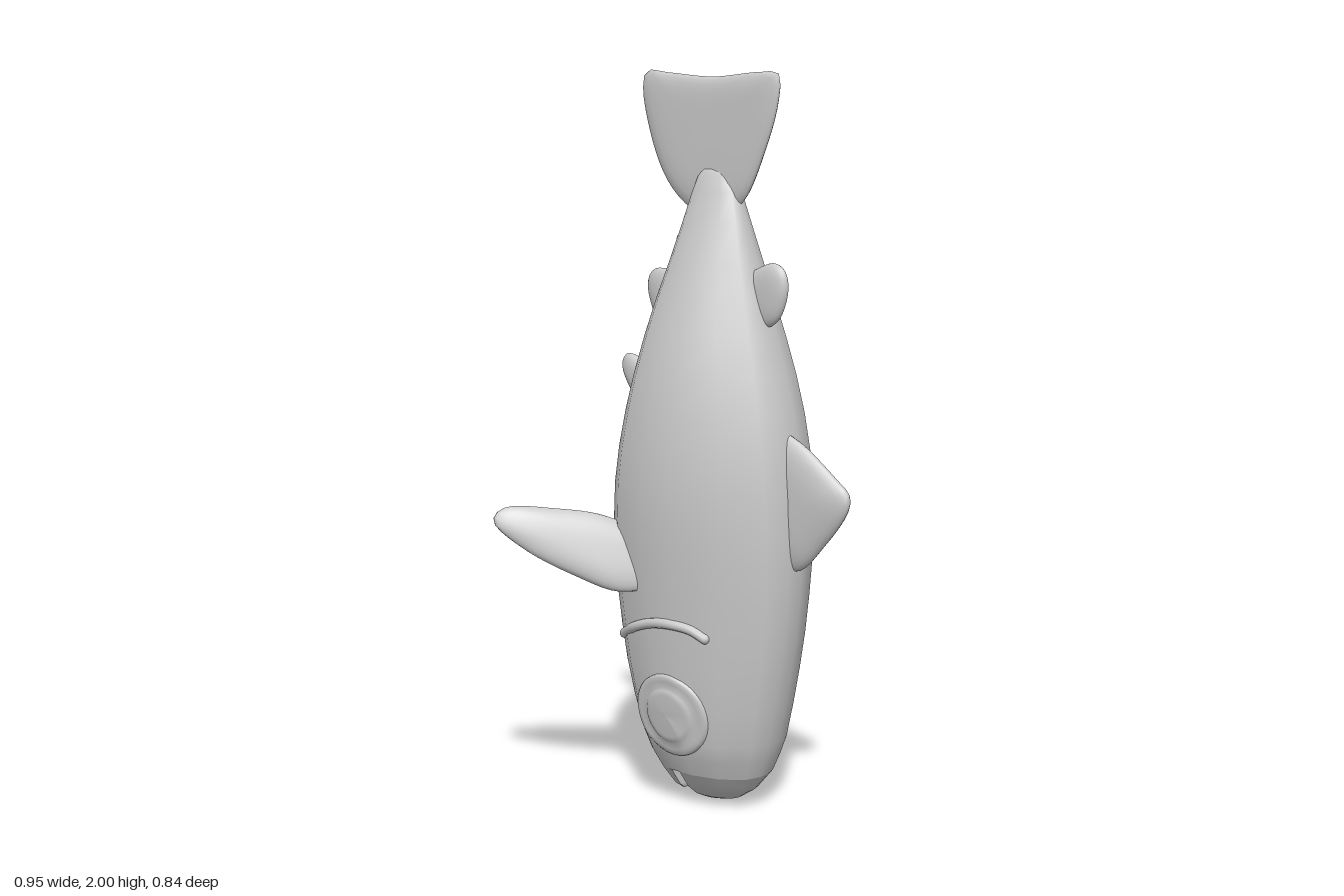
import * as THREE from 'three';

const material = new THREE.MeshStandardMaterial({ color: 0xcccccc });
const lerp = THREE.MathUtils.lerp;
const V = (x, y, z) => new THREE.Vector3(x, y, z);

// Body stations: height, back z, front z, half width
const PROFILE = [
  [0.005, -0.1, -0.02, 0.025], [0.02, -0.14, 0.035, 0.055], [0.05, -0.175, 0.08, 0.09],
  [0.1, -0.2, 0.12, 0.125], [0.15, -0.225, 0.14, 0.148], [0.2, -0.242, 0.157, 0.165],
  [0.3, -0.272, 0.178, 0.18], [0.4, -0.297, 0.197, 0.19], [0.5, -0.313, 0.213, 0.198],
  [0.6, -0.324, 0.224, 0.206], [0.7, -0.328, 0.231, 0.215], [0.8, -0.325, 0.232, 0.222],
  [0.9, -0.316, 0.228, 0.225], [1.0, -0.3, 0.218, 0.22], [1.1, -0.278, 0.2, 0.21],
  [1.2, -0.252, 0.175, 0.194], [1.3, -0.225, 0.146, 0.17], [1.4, -0.197, 0.115, 0.14],
  [1.5, -0.165, 0.084, 0.108], [1.6, -0.138, 0.054, 0.073], [1.68, -0.118, 0.03, 0.046],
  [1.72, -0.104, 0.012, 0.032], [1.745, -0.085, -0.01, 0.018],
];

// Half cross-section, scaled to one: sideways, back to front
const HALF = [[0, -1], [0.44, -0.92], [0.82, -0.77], [0.98, -0.6], [1, -0.25],
  [0.99, 0.07], [0.81, 0.57], [0.45, 0.92], [0.13, 1]];
const SECTION = [...HALF, ...HALF.slice(1).reverse().map(([u, v]) => [-u, v])];

// Straight interpolation in a table sorted by the column key
function sample(table, key, value) {
  let i = 1;
  while (i < table.length - 1 && table[i][key] < value) i++;
  const a = table[i - 1], b = table[i];
  const t = THREE.MathUtils.clamp((value - a[key]) / (b[key] - a[key]), 0, 1);
  return a.map((n, k) => lerp(n, b[k], t));
}

// Sideways position of the body's skin
function skinX(y, z) {
  const [, back, front, width] = sample(PROFILE, 0, y);
  return width * sample(HALF, 1, (2 * z - back - front) / (front - back))[0];
}

// Body ring at a height, kept within a range of z
function ring(y, zMin = -9, zMax = 9) {
  const [, back, front, width] = sample(PROFILE, 0, y);
  return SECTION.map(([u, v]) => V(u * width, y,
    THREE.MathUtils.clamp((back + front) / 2 + v * (front - back) / 2, zMin, zMax)));
}

// Row of equal points in the middle of a ring, closing a loft
function cap(row, y) {
  const c = row.reduce((s, p) => s.add(p), V(0, 0, 0)).divideScalar(row.length);
  return row.map(() => V(c.x, y, c.z));
}

// Skin over closed rows of points, turned outward by its signed volume
function loft(rows) {
  const n = rows[0].length, pts = rows.flat(), index = [];
  for (let r = 0; r < rows.length - 1; r++) {
    for (let i = 0; i < n; i++) {
      const a = r * n + i, b = r * n + (i + 1) % n;
      index.push(a, b, a + n, b, b + n, a + n);
    }
  }
  let volume = 0;
  for (let i = 0; i < index.length; i += 3) {
    const [a, b, c] = [0, 1, 2].map((k) => pts[index[i + k]]);
    volume += a.dot(b.clone().cross(c));
  }
  if (volume < 0) index.reverse();
  const geometry = new THREE.BufferGeometry().setFromPoints(pts);
  geometry.setIndex(index);
  geometry.computeVertexNormals();
  return geometry;
}

// Puffed fin from an outline of [across, y]; place() sets each point in space
function fin(outline, thickness, place, fullness = 3) {
  const n = 48;
  const curve = new THREE.CatmullRomCurve3(outline.map(([a, y]) => V(a, y, 0)), true, 'centripetal');
  const edge = curve.getSpacedPoints(n).slice(0, n);
  const mid = edge.reduce((s, p) => s.add(p), V(0, 0, 0)).divideScalar(n);
  const rows = [];
  for (let k = -8; k <= 8; k++) {
    const s = Math.cos((k / 8) * Math.PI / 2);
    const t = Math.sign(k) * thickness * Math.pow(Math.max(0, 1 - Math.pow(s, fullness)), 0.5);
    rows.push(edge.map((p) => place(lerp(mid.x, p.x, s), lerp(mid.y, p.y, s), t)));
  }
  return loft(rows);
}

export function createModel() {
  const fish = new THREE.Group();
  fish.name = 'fish';
  const add = (name, geometry) => {
    const mesh = new THREE.Mesh(geometry, material);
    mesh.name = name;
    fish.add(mesh);
    return mesh;
  };

  // Body, from the mouth corner up to the tail root
  const rows = PROFILE.slice(3).map(([y]) => ring(y));
  add('body', loft([cap(rows[0], 0.1), ring(0.1), ...rows, cap(rows.at(-1), 1.752)]));

  // Two jaws with the open mouth between them
  const jaw = (name, heights, tip, zMin, zMax) => {
    const r = heights.map((y) => ring(y, zMin, zMax));
    add(name, loft([cap(r[0], 0.1), ring(0.1, zMin, zMax), ...r, cap(r.at(-1), tip)]));
  };
  jaw('upperJaw', [0.1, 0.075, 0.05, 0.035, 0.02, 0.01, 0.005], 0, -0.075, 9);
  jaw('lowerJaw', [0.1, 0.075, 0.05, 0.035], 0.028, -9, -0.105);

  // Fins along the middle
  const middle = (a, y, t) => V(t, y, a);
  add('tailFin', fin([[0.165, 1.985], [0.1, 1.99], [-0.06, 1.98], [-0.22, 1.993], [-0.3, 1.997],
    [-0.312, 1.95], [-0.26, 1.77], [-0.2, 1.68], [-0.12, 1.625], [-0.04, 1.622], [0.04, 1.65],
    [0.12, 1.79], [0.165, 1.92]], 0.022, (a, y, t) => V(t * (1 - (y - 1.7) * 0.8), y, a), 6));
  add('frontDorsalFin', fin([[0.15, 1.06], [0.225, 1.045], [0.365, 0.95], [0.405, 0.915],
    [0.402, 0.875], [0.325, 0.77], [0.235, 0.69], [0.15, 0.72]], 0.032, middle));
  add('rearDorsalFin', fin([[0.06, 1.46], [0.1, 1.485], [0.155, 1.5], [0.187, 1.48],
    [0.197, 1.43], [0.165, 1.35], [0.12, 1.33], [0.06, 1.38]], 0.022, middle));
  add('rearAnalFin', fin([[-0.11, 1.42], [-0.17, 1.455], [-0.275, 1.463], [-0.297, 1.425],
    [-0.272, 1.34], [-0.205, 1.25], [-0.14, 1.3]], 0.022, middle));
  add('frontAnalFin', fin([[-0.2, 1.12], [-0.25, 1.17], [-0.31, 1.205], [-0.38, 1.222],
    [-0.397, 1.19], [-0.35, 1.105], [-0.285, 1.04], [-0.22, 1.06]], 0.024, middle));

  for (const [side, label] of [[1, 'left'], [-1, 'right']]) {
    // Pectoral fin, swept back
    add(label + 'PectoralFin', fin([[0.13, 0.74], [0.22, 0.808], [0.33, 0.835], [0.445, 0.843],
      [0.475, 0.81], [0.425, 0.735], [0.33, 0.66], [0.24, 0.612], [0.15, 0.63]], 0.036,
    (a, y, t) => V(side * a, y, -0.195 - 0.67 * (a - 0.23) - 0.4 * (y - 0.65) + t)));

    // Eye: shallow disc with a raised pupil, following the skin
    const eyeSteps = [[0, 0.014], [0.06, 0.014], [0.074, 0.011], [0.08, 0.006], [0.098, 0.008],
      [0.11, 0.009], [0.116, 0.005], [0.118, -0.003], [0.116, -0.02], [0, -0.03]];
    add(label + 'Eye', loft(eyeSteps.map(([r, lift]) => Array.from({ length: 40 }, (_, i) => {
      const t = (i / 40) * Math.PI * 2;
      const y = 0.275 + r * Math.sin(t), z = -0.065 + r * Math.cos(t);
      return V(side * (skinX(y, z) + lift), y, z);
    }))));

    // Brow ridge above the eye, with rounded ends
    const path = new THREE.CatmullRomCurve3([[0.51, 0.06], [0.53, 0.02], [0.538, -0.04],
      [0.53, -0.11], [0.51, -0.17], [0.475, -0.235]].map(([y, z]) => V(side * skinX(y, z), y, z)));
    add(label + 'Brow', new THREE.TubeGeometry(path, 32, 0.014, 10));
    for (const t of [0, 1]) {
      add(label + 'BrowEnd', new THREE.SphereGeometry(0.014, 12, 8)).position.copy(path.getPoint(t));
    }
  }

  // Small cross on the underside near the tail
  const cross = new THREE.Group();
  cross.name = 'cross';
  for (const side of [1, -1]) {
    const bar = new THREE.Mesh(new THREE.CapsuleGeometry(0.012, 0.095, 4, 10), material);
    bar.name = 'crossBar';
    bar.rotation.z = side * 0.7;
    cross.add(bar);
  }
  cross.position.set(0, 1.52, -0.158);
  cross.rotation.x = 0.28;
  fish.add(cross);

  return fish;
}
